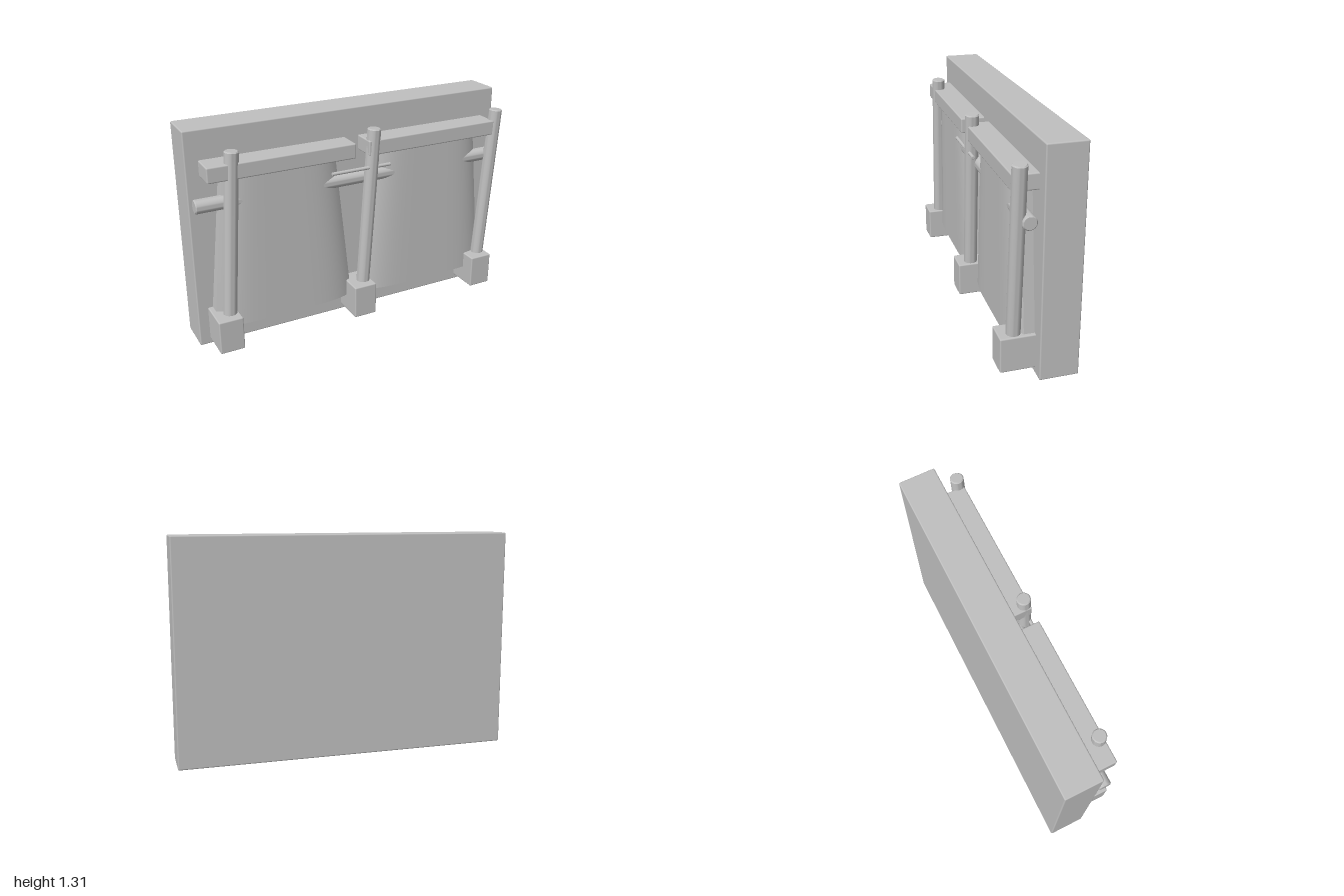
import * as THREE from 'three';
import { toCreasedNormals } from 'three/addons/utils/BufferGeometryUtils.js';
import { RoundedBoxGeometry } from 'three/addons/geometries/RoundedBoxGeometry.js';

export function createModel() {
  const group = new THREE.Group();
  const grey = new THREE.MeshStandardMaterial({ color: 0xbfbfbf });
  grey.name = 'plain grey';

  const add = (name, geometry) => {
    const mesh = new THREE.Mesh(geometry, grey);
    mesh.name = name;
    group.add(mesh);
    return mesh;
  };

  // Softly bevelled box given by its limits
  const box = (name, x0, x1, y0, y1, z0, z1) =>
    add(name, new RoundedBoxGeometry(x1 - x0, y1 - y0, z1 - z0, 2, 0.008))
      .position.set((x0 + x1) / 2, (y0 + y1) / 2, (z0 + z1) / 2);

  // Round bar between two points, with a small chamfer at each end
  const bar = (name, from, to, r) => {
    const a = new THREE.Vector3(...from), b = new THREE.Vector3(...to);
    const dir = b.clone().sub(a), h = dir.length(), c = r * 0.15;
    const profile = [[0, 0], [r - c, 0], [r, c], [r, h - c], [r - c, h], [0, h]]
      .map(([x, y]) => new THREE.Vector2(x, y));
    const mesh = add(name, toCreasedNormals(new THREE.LatheGeometry(profile, 32), 0.6));
    mesh.position.copy(a);
    mesh.quaternion.setFromUnitVectors(new THREE.Vector3(0, 1, 0), dir.normalize());
  };

  // Bulging panel, narrower at the top, with a slanted top edge
  const panel = (name, cx) => {
    const y0 = 0.14, height = 0.87, half = 0.44, steps = 32;
    const shape = new THREE.Shape();
    shape.moveTo(-half, 0);
    for (let i = 0; i <= steps; i++) {
      const u = -1 + (2 * i) / steps;
      shape.lineTo(u * half, -(0.07 + 0.05 * (1 - Math.abs(u) ** 5)));
    }
    shape.lineTo(half, 0);
    const geo = new THREE.ExtrudeGeometry(shape, { depth: height, bevelEnabled: false });
    geo.rotateX(-Math.PI / 2);
    const p = geo.attributes.position;
    for (let i = 0; i < p.count; i++) {
      let y = p.getY(i);
      if (y > height / 2) y += 0.5 * p.getZ(i);
      p.setXYZ(i, p.getX(i) * (1 - 0.225 * y / 0.91), y, p.getZ(i));
    }
    add(name, toCreasedNormals(geo, 0.5)).position.set(cx, y0, 0);
  };

  // Backing slab
  box('backSlab', -1, 1, 0, 1.31, -0.21, 0.01);

  // Feet with leaning posts
  for (const x of [-0.865, -0.005, 0.855]) {
    box('footBlock', x - 0.073, x + 0.073, 0.035, 0.24, -0.01, 0.205);
    bar('leaningPost', [x + 0.015, 0.12, 0.12], [x + 0.092, 1.204, 0.12], 0.04);
  }

  // Top beams and panels
  box('rightBeam', -0.925, -0.045, 1.05, 1.14, -0.01, 0.15);
  box('leftBeam', 0.04, 0.92, 1.05, 1.14, -0.01, 0.15);
  panel('rightPanel', -0.48);
  panel('leftPanel', 0.48);

  // Long cross rod through the panels, and the thin rod above it
  bar('crossRod', [-0.985, 0.905, 0.0725], [0.98, 0.905, 0.0725], 0.04);
  bar('thinRod', [-0.195, 0.977, 0.14], [0.185, 0.977, 0.14], 0.01);

  return group;
}
